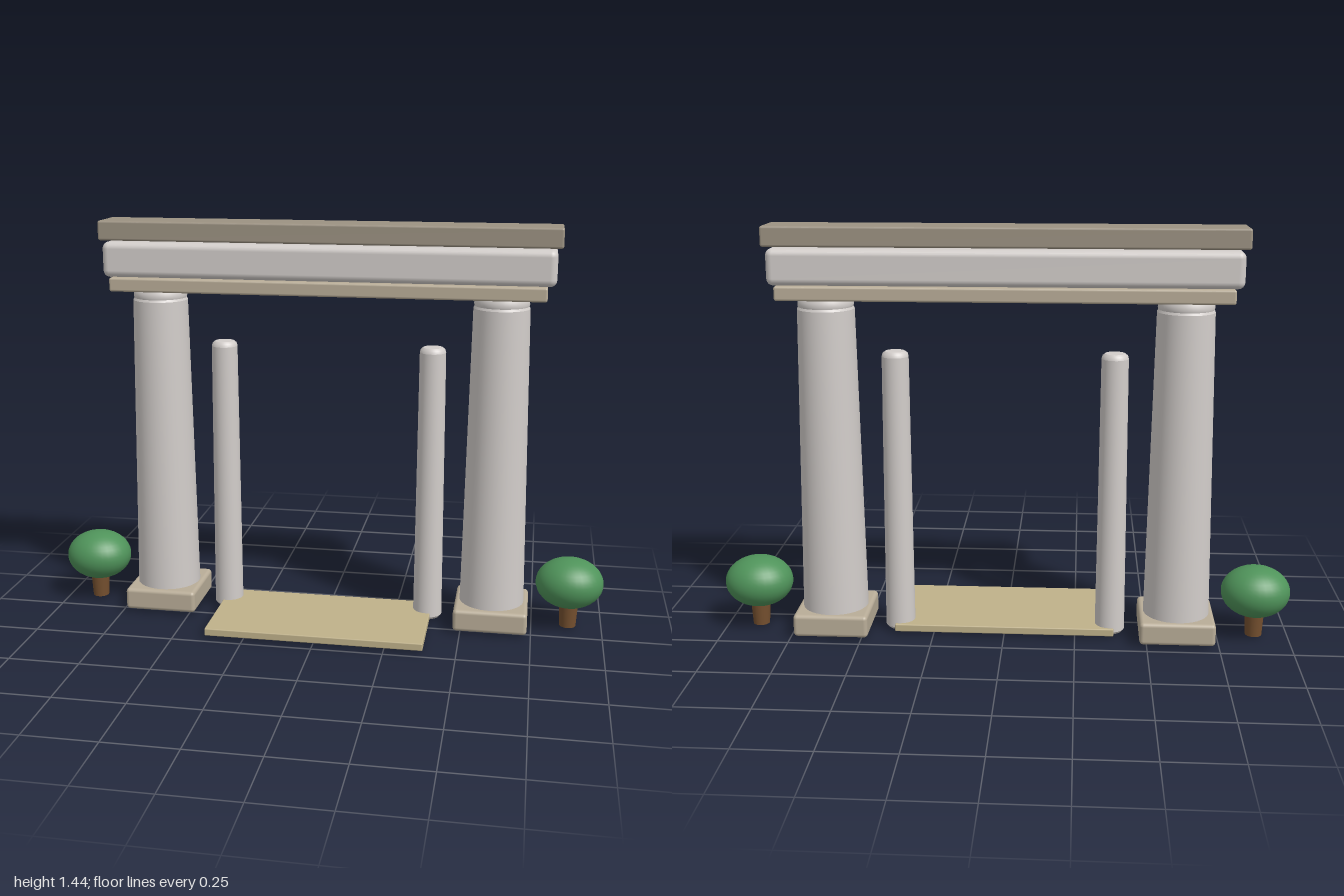
import * as THREE from 'three';
import { RoundedBoxGeometry } from 'three/addons/geometries/RoundedBoxGeometry.js';

const Z = -0.095; // depth of the gateway's centre line

const material = (color) => new THREE.MeshStandardMaterial({ color });
const marble = material(0xd2cdca);
const stone = material(0xb9ad98);
const cornice = material(0x9c9282);
const sand = material(0xbfb18a);
const bark = material(0x75502f);
const leaf = material(0x4f935a);

export function createModel() {
  const model = new THREE.Group();

  const add = (name, geometry, mat, x, y, z, parent = model) => {
    const mesh = new THREE.Mesh(geometry, mat);
    mesh.name = name;
    mesh.position.set(x, y, z);
    parent.add(mesh);
    return mesh;
  };

  // Softened block given by its bottom and top heights
  const block = (name, width, bottom, top, depth, radius, mat, x, z, parent) =>
    add(name, new RoundedBoxGeometry(width, top - bottom, depth, 3, radius), mat,
      x, (bottom + top) / 2, z, parent);

  // Turned shape; doubled points keep the ridges crisp
  const turned = (points) =>
    new THREE.LatheGeometry(points.map(([r, y]) => new THREE.Vector2(r, y)), 40);

  const columnShape = turned([
    [0, 0], [0.07, 0.004], [0.105, 0.012], [0.116, 0.03], [0.116, 0.03],
    [0.097, 1.155], [0.097, 1.155], [0.093, 1.163], [0.093, 1.163],
    [0.095, 1.17], [0.094, 1.183], [0.088, 1.194], [0.088, 1.194], [0, 1.196],
  ]);
  const postShape = turned([
    [0, 0.012], [0.044, 0.012], [0.052, 0.022], [0.052, 0.022],
    [0.046, 0.993], [0.046, 0.993], [0.043, 1.004], [0.034, 1.011], [0.034, 1.011], [0, 1.012],
  ]);

  for (const [side, s] of [['left', 1], ['right', -1]]) {
    // Main column on its plinth, with a slim post inside
    const support = new THREE.Group();
    support.name = side + 'Support';
    model.add(support);
    block('plinth', 0.262, 0.01, 0.09, 0.262, 0.014, stone, s * 0.605, -0.093, support);
    add('column', columnShape, marble, s * 0.605, 0, Z, support);
    add('slimPost', postShape, marble, s * 0.373, 0, Z, support);

    // Round shrub on a short trunk
    const shrub = new THREE.Group();
    shrub.name = side + 'Shrub';
    model.add(shrub);
    add('trunk', new THREE.CylinderGeometry(0.036, 0.029, 0.11, 20), bark,
      s * 0.88, 0.063, Z, shrub);
    const foliage = add('foliage', new THREE.SphereGeometry(1, 32, 20), leaf,
      s * 0.88, 0.171, -0.097, shrub);
    foliage.scale.set(0.12, 0.091, 0.108);
  }

  // Entablature of three stacked beams
  block('lowerBeam', 1.514, 1.193, 1.242, 0.223, 0.008, stone, 0, -0.092);
  block('middleBeam', 1.572, 1.24, 1.364, 0.194, 0.024, marble, 0, -0.093);
  block('topBeam', 1.606, 1.367, 1.436, 0.158, 0.008, cornice, 0, -0.093);

  // Threshold slab reaching forward
  block('threshold', 0.772, 0.011, 0.038, 0.385, 0.004, sand, 0, 0.035);

  return model;
}
